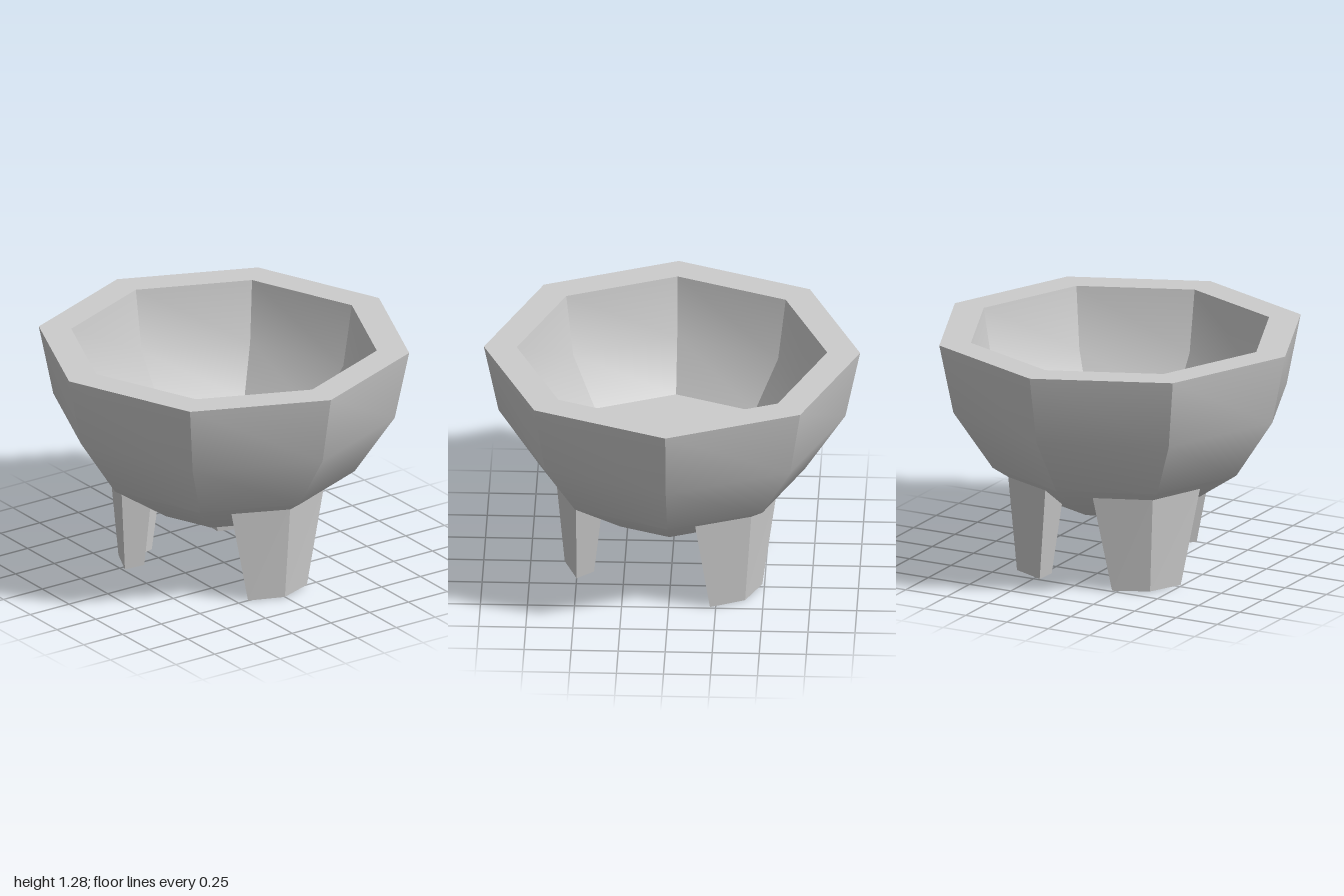
import * as THREE from 'three';
import { toCreasedNormals } from 'three/addons/utils/BufferGeometryUtils.js';

const BOWL_SIDES = 8;
const LEG_TOP = 0.54;

// Thick octagonal bowl: outside from the base tip to the rim, then down the inside
function bowlGeometry() {
  const profile = [
    [0, 0.29], [0.375, 0.357], [0.705, 0.58], [0.922, 0.905], [1, 1.285],
    [0.825, 1.285], [0.77, 0.95], [0.6, 0.695], [0, 0.695],
  ].map(([r, y]) => new THREE.Vector2(r, y));
  return toCreasedNormals(new THREE.LatheGeometry(profile, BOWL_SIDES), Math.PI / 6);
}

// Tapered leg with a chevron section: outer ridge, side, inner corner, notch, mirrored
function legGeometry() {
  const section = (ridge, side, inner, notch, y) => [
    [0, ridge], side, inner, [0, notch], [-inner[0], inner[1]], [-side[0], side[1]],
  ].map(([x, z]) => [x, y, z]);
  const bottom = section(0.57, [0.19, 0.5], [0.11, 0.41], 0.467, 0);
  const top = section(0.62, [0.3, 0.5], [0.17, 0.35], 0.41, LEG_TOP);
  const positions = [];
  const tri = (a, b, c) => positions.push(...a, ...b, ...c);

  for (let i = 0; i < 6; i++) {
    const j = (i + 1) % 6;
    tri(bottom[i], bottom[j], top[j]);
    tri(bottom[i], top[j], top[i]);
  }
  // End caps
  for (const [a, b, c] of [[0, 1, 3], [1, 2, 3], [0, 3, 5], [3, 4, 5]]) {
    tri(top[a], top[b], top[c]);
    tri(bottom[a], bottom[c], bottom[b]);
  }
  const geometry = new THREE.BufferGeometry();
  geometry.setAttribute('position', new THREE.Float32BufferAttribute(positions, 3));
  geometry.computeVertexNormals();
  return geometry;
}

export function createModel() {
  const model = new THREE.Group();
  model.name = 'footedBowl';

  const bowl = new THREE.Mesh(bowlGeometry(), new THREE.MeshStandardMaterial({ color: 0xcccccc }));
  bowl.name = 'bowl';
  model.add(bowl);

  // One leg in front, two at the back corners
  const legMaterial = new THREE.MeshStandardMaterial({ color: 0xcccccc, flatShading: true });
  const geometry = legGeometry();
  const legs = { frontLeg: 0, backLeftLeg: 135, backRightLeg: -135 };
  for (const [name, degrees] of Object.entries(legs)) {
    const leg = new THREE.Mesh(geometry, legMaterial);
    leg.name = name;
    leg.rotation.y = THREE.MathUtils.degToRad(degrees);
    model.add(leg);
  }
  return model;
}
